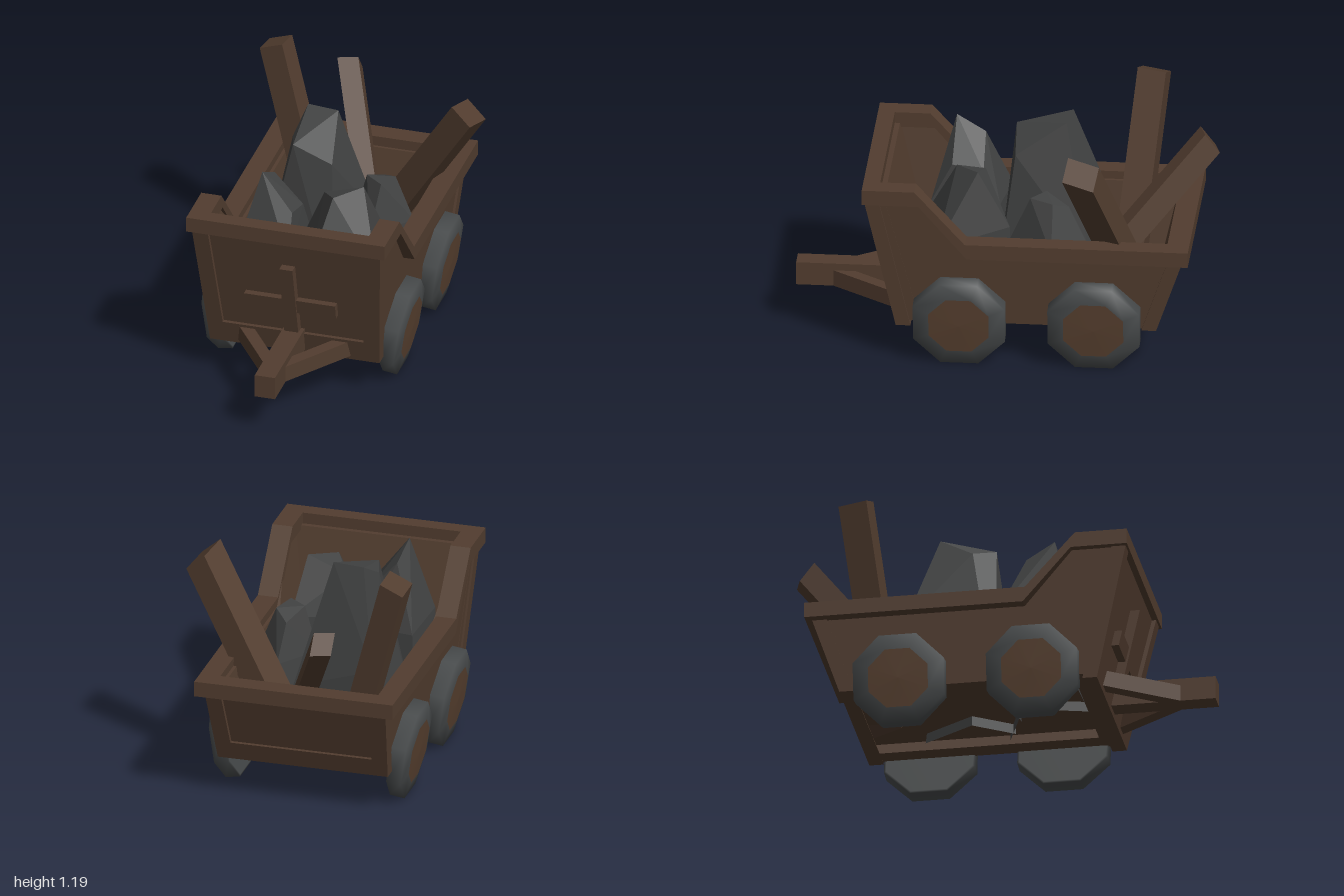
import * as THREE from 'three';
import { ConvexGeometry } from 'three/addons/geometries/ConvexGeometry.js';

const wood = new THREE.MeshStandardMaterial({ color: 0x523d2f });
wood.name = 'brown wood';
const stone = new THREE.MeshStandardMaterial({ color: 0x424343 });
stone.name = 'dark grey stone';
const tyreGrey = new THREE.MeshStandardMaterial({ color: 0x484b4c });
tyreGrey.name = 'tyre grey';
const hubBrown = new THREE.MeshStandardMaterial({ color: 0x5a4231 });
hubBrown.name = 'hub brown';

function add(parent, name, geometry, material) {
  const mesh = new THREE.Mesh(geometry, material);
  mesh.name = name;
  parent.add(mesh);
  return mesh;
}

function box(parent, name, w, h, d, x, y, z) {
  return add(parent, name, new THREE.BoxGeometry(w, h, d), wood).position.set(x, y, z);
}

// Straight beam from a to b; u and v are the edges of its slanted end caps
function beam(parent, name, a, b, u, v) {
  const geometry = new THREE.BoxGeometry(1, 1, 1);
  const p = geometry.attributes.position;
  for (let i = 0; i < p.count; i++) {
    const s = p.getX(i), t = p.getY(i), k = p.getZ(i) + 0.5;
    p.setXYZ(i, ...[0, 1, 2].map(j => a[j] + (b[j] - a[j]) * k + u[j] * s + v[j] * t));
  }
  const flat = geometry.toNonIndexed();
  flat.computeVertexNormals();
  add(parent, name, flat, wood);
}

// Leaning slab: outline points are (z, y) for axis 'x' and (x, y) for axis 'z'.
// Its faces lie at side * outer(y) and side * inner(y).
function slab(parent, name, points, axis, side, outer, inner = y => outer(y) - 0.07) {
  const shape = new THREE.Shape(points.map(([u, y]) => new THREE.Vector2(axis === 'x' ? -u : u, y)));
  const geometry = new THREE.ExtrudeGeometry(shape, { depth: 1, bevelEnabled: false });
  const p = geometry.attributes.position;
  for (let i = 0; i < p.count; i++) {
    const y = p.getY(i), isOuter = (p.getZ(i) > 0.5) === (side > 0);
    p.setZ(i, side * (isOuter ? outer(y) : inner(y)));
  }
  if (axis === 'x') geometry.rotateY(Math.PI / 2);
  geometry.computeVertexNormals();
  add(parent, name, geometry, wood);
}

// Outer faces of the corner posts at height y
const sideX = y => 0.42 + (y - 0.2) * 0.07;
const frontZ = y => 0.5 + (y - 0.2) * 0.222;
const backZ = y => 0.745 + (y - 0.2) * 0.34;
// Inner faces of the walls, leaning in towards the floor
const innerX = y => 0.32 + (y - 0.28) * 0.17;
const innerFrontZ = y => 0.4 + (y - 0.28) * 0.255;
const innerBackZ = y => 0.715 + (y - 0.28) * 0.23;

function buildTub(cart) {
  const B = 0.2;
  box(cart, 'floor', 0.68, 0.03, 1.15, 0, 0.265, -0.155);

  for (const s of [1, -1]) {
    // Side wall and its two corner posts
    slab(cart, 'sideWall', [[frontZ(B) - 0.02, B], [frontZ(0.86) - 0.02, 0.86], [0.38, 0.86], [0.14, 0.6],
      [-backZ(0.6) + 0.02, 0.6], [-backZ(B) + 0.02, B]], 'x', s, y => sideX(y) - 0.012, innerX);
    slab(cart, 'frontPost', [[frontZ(B) - 0.07, B], [frontZ(B), B], [frontZ(0.84), 0.84],
      [frontZ(0.84) - 0.07, 0.84]], 'x', s, sideX, y => sideX(y) - 0.078);
    slab(cart, 'backPost', [[-backZ(B) + 0.07, B], [-backZ(0.58) + 0.07, 0.58], [-backZ(0.58), 0.58],
      [-backZ(B), B]], 'x', s, sideX, y => sideX(y) - 0.078);
    // Stepped rim along the side
    slab(cart, 'sideRim', [[0.65, 0.905], [0.4, 0.905], [0.16, 0.64], [-0.9, 0.64], [-0.9, 0.565],
      [0.15, 0.565], [0.38, 0.83], [0.65, 0.83]], 'x', s, () => 0.49, () => 0.39);
  }
  box(cart, 'frontRim', 0.78, 0.075, 0.08, 0, 0.8675, 0.61);
  box(cart, 'backRim', 0.78, 0.075, 0.1, 0, 0.6025, -0.85);

  // Front and back walls with a beam along the bottom
  for (const [s, face, inner, top, foot, label] of
    [[1, frontZ, innerFrontZ, 0.85, 0.175, 'front'], [-1, backZ, innerBackZ, 0.59, 0.195, 'back']]) {
    const a = sideX(B) - 0.01, b = sideX(top) - 0.01;
    slab(cart, label + 'Wall', [[-a, B], [a, B], [b, top], [-b, top]], 'z', s, y => face(y) - 0.02, inner);
    const c = sideX(foot), d = sideX(0.29);
    slab(cart, label + 'BottomBeam', [[-c, foot], [c, foot], [d, 0.29], [-d, 0.29]], 'z', s, face);
  }

  // Crossed battens on the front
  slab(cart, 'uprightBatten', [[-0.035, 0.2], [0.035, 0.2], [0.03, 0.69], [-0.035, 0.69]],
    'z', 1, y => frontZ(y) + 0.026);
  slab(cart, 'crossBatten', [[-0.225, 0.425], [0.225, 0.425], [0.225, 0.5], [-0.225, 0.5]],
    'z', 1, y => frontZ(y) + 0.016);
}

function buildDrawbar(cart) {
  box(cart, 'drawbar', 0.1, 0.115, 0.56, 0.003, 0.2525, 0.72);
  for (const s of [1, -1]) {
    beam(cart, 'drawbarBrace', [s * 0.24, 0.235, 0.5], [0, 0.235, 0.845], [0.075, 0, 0], [0, 0.08, 0]);
  }
}

// Eight-sided wheel, axis along x with the outer face at +x
function buildWheel() {
  const wheel = new THREE.Group();
  wheel.name = 'wheel';
  const turn = profile => new THREE.LatheGeometry(
    profile.map(([r, y]) => new THREE.Vector2(r, y)), 8, Math.PI / 8).rotateZ(-Math.PI / 2);
  add(wheel, 'tyre', turn([[0, -0.038], [0.225, -0.038], [0.236, -0.036], [0.236, 0.036], [0.155, 0.05]]), tyreGrey);
  add(wheel, 'hub', turn([[0.155, 0.05], [0, 0.055]]), hubBrown);
  return wheel;
}

// Faceted rock from hull points, left open underneath
function rock(parent, points) {
  const hull = new ConvexGeometry(points.map(p => new THREE.Vector3(...p)));
  const p = hull.attributes.position, n = hull.attributes.normal, kept = [];
  for (let i = 0; i < p.count; i += 3) {
    if (n.getY(i) < -0.9) continue;
    for (let k = i; k < i + 3; k++) kept.push(p.getX(k), p.getY(k), p.getZ(k));
  }
  const geometry = new THREE.BufferGeometry();
  geometry.setAttribute('position', new THREE.Float32BufferAttribute(kept, 3));
  geometry.computeVertexNormals();
  add(parent, 'rock', geometry, stone);
}

function buildLoad(parent) {
  const L = 0.2;
  // Tall back rock
  rock(parent, [[-0.34, L, -0.5], [0.07, L, -0.41], [0, L, 0.05], [-0.41, L, -0.01], [0.08, 0.45, -0.4],
    [-0.33, 0.6, -0.46], [-0.24, 1.06, -0.3], [-0.085, 1.06, -0.28], [-0.045, 0.9, -0.04],
    [-0.235, 0.985, -0.03], [-0.268, 0.97, -0.14]]);
  // Small back rock
  rock(parent, [[0.16, L, -0.44], [0.31, L, -0.24], [0.13, L, 0], [0, L, -0.19],
    [0.3, 0.55, -0.24], [0.14, 0.55, -0.03], [0.02, 0.55, -0.19], [0.16, 0.55, -0.4],
    [0.08, 0.78, -0.2], [0.17, 0.78, -0.13], [0.21, 0.77, -0.24], [0.14, 0.73, -0.31]]);
  // Wide front rock
  rock(parent, [[-0.14, L, 0.08], [0.2, L, -0.04], [0.29, L, 0.32], [-0.05, L, 0.42],
    [0.2, 0.64, -0.035], [0.28, 0.55, 0.31], [-0.03, 0.58, 0.39], [-0.13, 0.62, 0.08],
    [0.16, 0.9, 0.12], [0.04, 0.88, 0.23], [-0.04, 0.83, 0.1]]);
  // Pointed front rock
  rock(parent, [[-0.4, L, -0.02], [-0.12, L, 0.03], [-0.14, L, 0.38], [-0.41, L, 0.37],
    [-0.39, 0.6, 0], [-0.13, 0.6, 0.04], [-0.14, 0.6, 0.37], [-0.4, 0.6, 0.35],
    [-0.3, 0.985, 0.26], [-0.28, 0.91, 0.12], [-0.14, 0.76, 0.12], [-0.15, 0.79, 0.27]]);

  // Loose planks sticking out at the back
  beam(parent, 'loosePlank', [-0.26, 0.27, -0.565], [-0.507, 1.16, -0.66],
    [0.115, 0.045, 0.015], [0.01, -0.018, -0.135]);
  beam(parent, 'loosePlank', [0.01, 0.26, -0.62], [0.523, 1.078, -0.4],
    [0.095, -0.085, 0.02], [0.035, -0.03, -0.15]);
  beam(parent, 'loosePlank', [0, 0.44, -0.51], [-0.228, 0.935, -0.95],
    [0.095, 0, -0.03], [0, -0.09, -0.07]);
}

export function createModel() {
  const model = new THREE.Group();
  model.name = 'loadedCart';

  const cart = new THREE.Group();
  cart.name = 'cart';
  cart.position.x = -0.07;
  model.add(cart);
  buildTub(cart);
  buildDrawbar(cart);

  // Four wheels leaning outwards at the top
  for (const s of [1, -1]) {
    for (const z of [0.19, -0.45]) {
      const wheel = buildWheel();
      wheel.position.set(s * 0.438, 0.222, z);
      wheel.rotation.set(0, s > 0 ? 0 : Math.PI, -0.148);
      cart.add(wheel);
    }
  }

  const load = new THREE.Group();
  load.name = 'load';
  model.add(load);
  buildLoad(load);
  return model;
}
